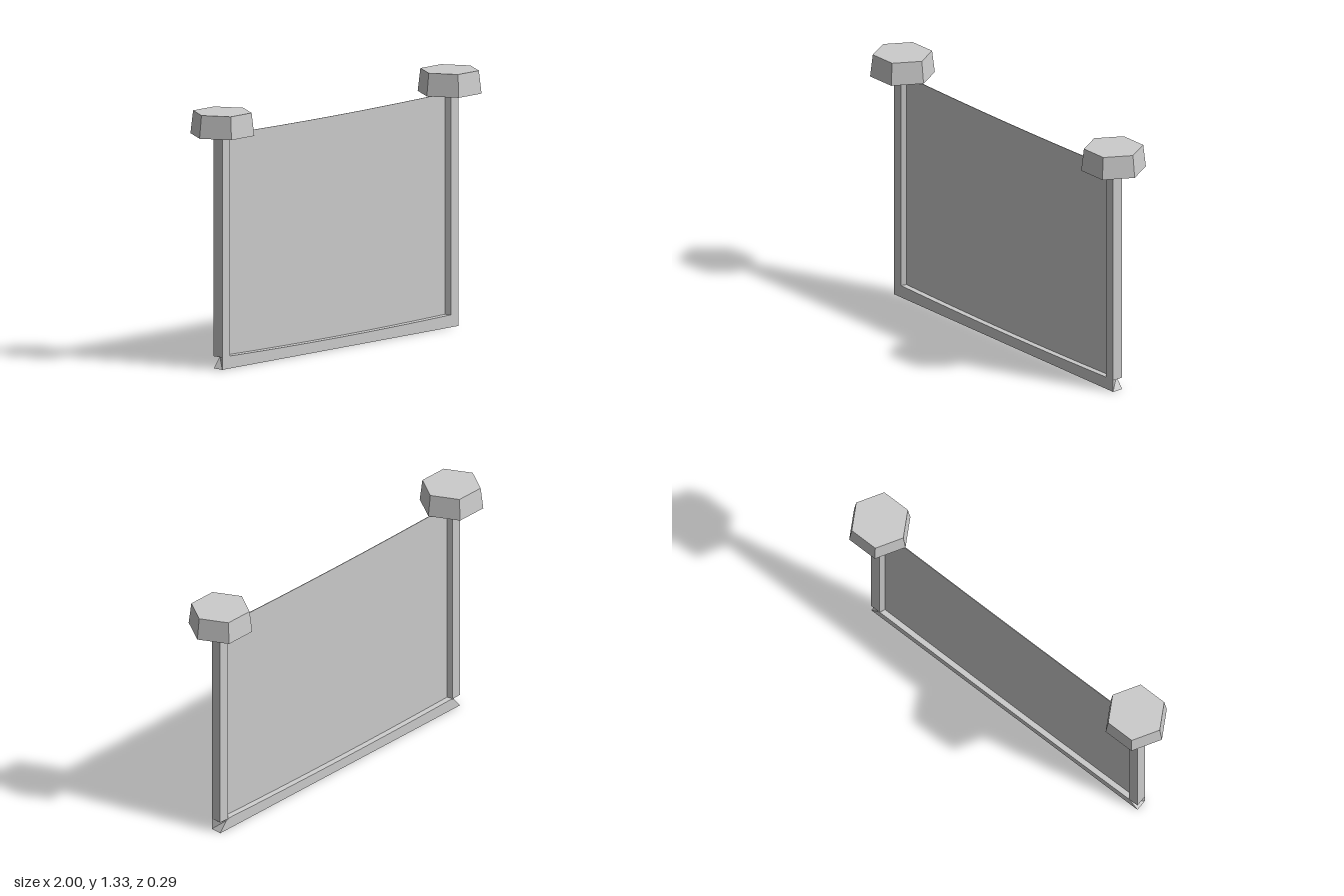
import * as THREE from 'three';

const grey = new THREE.MeshStandardMaterial({ color: 0xcccccc, flatShading: true });

function part(name, geometry) {
  const mesh = new THREE.Mesh(geometry, grey);
  mesh.name = name;
  return mesh;
}

// Drop of the top and bottom edges toward the middle
const sag = (x) => 0.009 * Math.max(0, 1 - (x / 0.8) ** 2);

// Bottom rail lofted from five-sided sections, with a mitre cut at the back of each end
function railGeometry() {
  const xs = [-0.865, -0.8, -0.6, -0.4, -0.2, 0, 0.2, 0.4, 0.6, 0.8, 0.865];
  const n = 5, last = xs.length - 1, pos = [], index = [];
  xs.forEach((x, i) => {
    const end = i === 0 || i === last;
    const top = 0.064 - sag(x);
    const section = [
      [0, 0, 0.03], [0, top, 0.03], [end ? 0.02 : 0, top + 0.002, 0],
      [end ? 0.045 : 0, end ? 0.056 : top, -0.03], [0, 0, -0.03],
    ];
    for (const [inset, y, z] of section) pos.push(x - Math.sign(x) * inset, y, z);
  });
  for (let i = 0; i < last; i++) {
    for (let j = 0; j < n; j++) {
      const a = i * n + j, b = i * n + (j + 1) % n;
      index.push(a, a + n, b + n, a, b + n, b);
    }
  }
  for (let k = 1; k < n - 1; k++) {
    index.push(0, k, k + 1, last * n, last * n + k + 1, last * n + k);
  }
  const g = new THREE.BufferGeometry();
  g.setAttribute('position', new THREE.Float32BufferAttribute(pos, 3));
  g.setIndex(index);
  const flat = g.toNonIndexed();
  flat.computeVertexNormals();
  return flat;
}

// Upright with a shallow ridge on its inner side, where the panel joins
function postGeometry() {
  const outline = [[0.865, -0.03], [0.865, 0.03], [0.81, 0.03], [0.797, 0], [0.81, -0.03]];
  const shape = new THREE.Shape(outline.map(([x, z]) => new THREE.Vector2(x, z)));
  const g = new THREE.ExtrudeGeometry(shape, { depth: 1.145, bevelEnabled: false });
  return g.rotateX(-Math.PI / 2).translate(0, 0.063, 0);
}

// Thin panel whose top edge sags slightly
function panelGeometry() {
  const shape = new THREE.Shape();
  shape.moveTo(-0.81, 0.045);
  shape.lineTo(0.81, 0.045);
  for (let i = 0; i <= 8; i++) {
    const x = 0.81 - i * 0.2025;
    shape.lineTo(x, 1.206 - sag(x));
  }
  shape.closePath();
  return new THREE.ExtrudeGeometry(shape, { depth: 0.004, bevelEnabled: false }).translate(0, 0, -0.002);
}

export function createModel() {
  const model = new THREE.Group();
  model.name = 'framedPanel';
  model.add(part('panel', panelGeometry()), part('bottomRail', railGeometry()));

  // Matching uprights with tapered hexagonal caps
  for (const [side, turn] of [['left', 0], ['right', Math.PI]]) {
    const group = new THREE.Group();
    group.name = side + 'Upright';
    const cap = new THREE.CylinderGeometry(0.153, 0.167, 0.118, 6, 1, false, Math.PI / 6);
    cap.translate(0.833, 1.266, 0);
    group.add(part(side + 'Post', postGeometry()), part(side + 'Cap', cap));
    group.rotation.y = turn;
    model.add(group);
  }
  return model;
}
